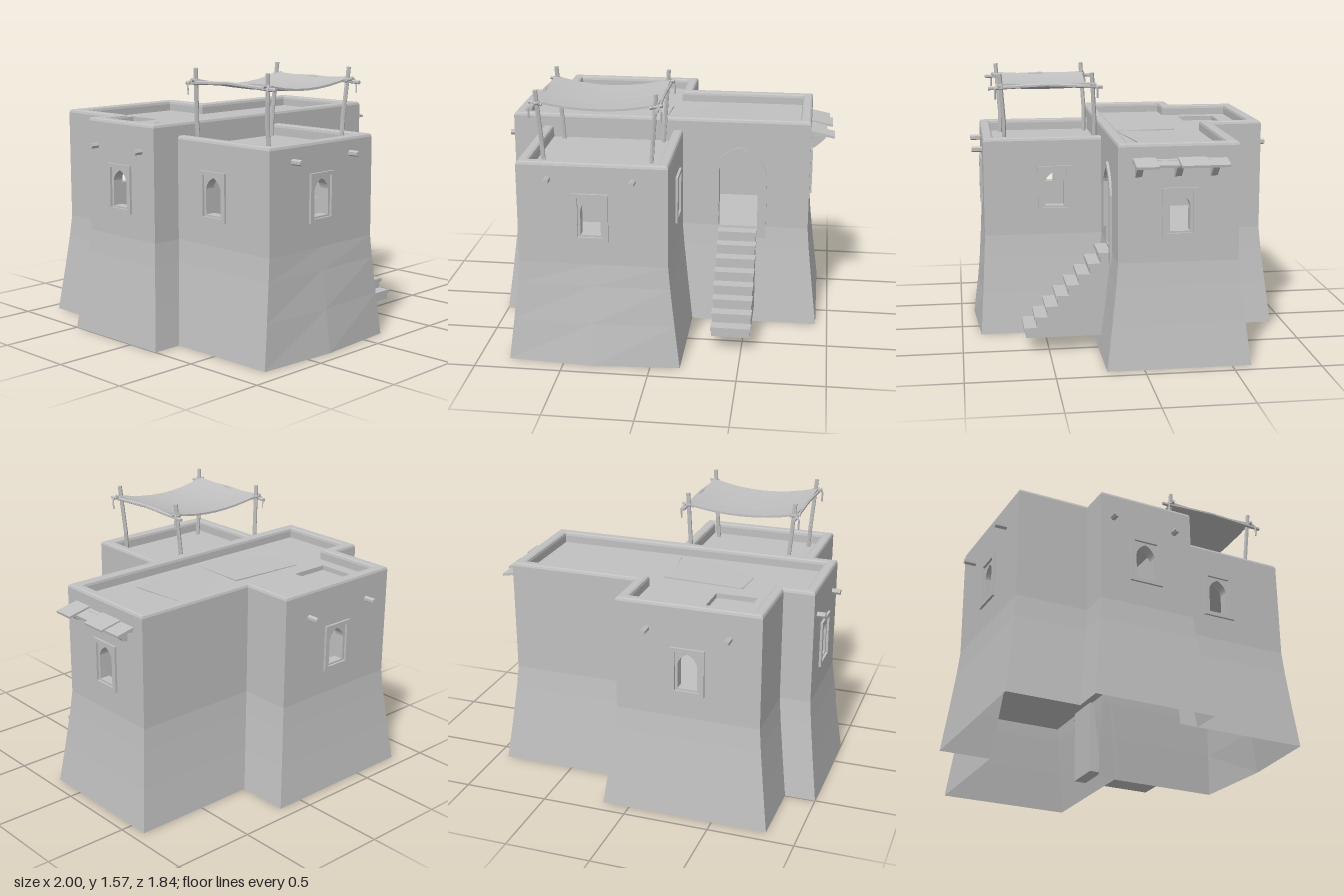
import * as THREE from 'three';

const clay = new THREE.MeshStandardMaterial({ color: 0xc0c0c0, side: THREE.DoubleSide });
clay.name = 'grey clay';

// Outlines [x, z, zScale], walked so that the outside is on the right-hand normal
const MAIN = [[-0.93, 0.14], [0.86, 0.14], [0.86, -0.54], [0.09, -0.54], [0.09, -0.85], [-0.75, -0.85], [-0.75, -0.43], [-0.93, -0.43]];
const TOWER = [[-0.75, 0.1], [-0.75, 0.85], [0.1, 0.85], [0.1, 0.1]];

function mesh(parent, name, geometry, x = 0, y = 0, z = 0) {
  const m = new THREE.Mesh(geometry, clay);
  m.name = name;
  m.position.set(x, y, z);
  parent.add(m);
  return m;
}

// Outward mitre vector at each outline point
function mitres(path, closed) {
  const n = path.length;
  const normal = i => {
    const a = path[(i + n) % n], b = path[(i + 1) % n];
    const l = Math.hypot(b[0] - a[0], b[1] - a[1]);
    return [-(b[1] - a[1]) / l, (b[0] - a[0]) / l];
  };
  return path.map((p, i) => {
    const n2 = !closed && i === n - 1 ? normal(i - 1) : normal(i);
    const n1 = !closed && i === 0 ? n2 : normal(i - 1);
    const k = 1 + n1[0] * n2[0] + n1[1] * n2[1];
    return [(n1[0] + n2[0]) / k, (n1[1] + n2[1]) / k * (p[2] ?? 1)];
  });
}

// Sweep a profile of [outward offset, y] along an outline
function sweep(path, closed, profile) {
  const m = mitres(path, closed), n = path.length, pos = [];
  const at = (i, j) => [path[i % n][0] + m[i % n][0] * profile[j][0], profile[j][1], path[i % n][1] + m[i % n][1] * profile[j][0]];
  for (let i = 0; i < (closed ? n : n - 1); i++) {
    for (let j = 0; j < profile.length - 1; j++) {
      const a = at(i, j), b = at(i + 1, j), c = at(i + 1, j + 1), d = at(i, j + 1);
      pos.push(...a, ...b, ...c, ...a, ...c, ...d);
    }
  }
  const g = new THREE.BufferGeometry();
  g.setAttribute('position', new THREE.Float32BufferAttribute(pos, 3));
  g.computeVertexNormals();
  return g;
}

// Horizontal slab filling an outline
function slab(path, inset, depth, hole) {
  const m = mitres(path, true);
  const s = new THREE.Shape(path.map((p, i) => new THREE.Vector2(p[0] - m[i][0] * inset, -p[1] + m[i][1] * inset)));
  if (hole) s.holes.push(hole);
  return new THREE.ExtrudeGeometry(s, { depth, bevelEnabled: false }).rotateX(-Math.PI / 2);
}

function rect(Type, x0, y0, x1, y1) {
  return new Type([[x0, y0], [x1, y0], [x1, y1], [x0, y1]].map(p => new THREE.Vector2(...p)));
}

function archPath(u, half, bottom, spring, apex) {
  const p = new THREE.Path();
  p.moveTo(u - half, bottom).lineTo(u + half, bottom).lineTo(u + half, spring);
  p.quadraticCurveTo(u + half * 0.85, spring + (apex - spring) * 0.65, u, apex);
  p.quadraticCurveTo(u - half * 0.85, spring + (apex - spring) * 0.65, u - half, spring);
  return p;
}

const extrude = (shape, depth) => new THREE.ExtrudeGeometry(shape, { depth, bevelEnabled: false, curveSegments: 6 });

// Upright thick wall from a to b, with optional window or door opening
function wall(parent, a, b, top, windowAt, doorAt) {
  const g = new THREE.Group();
  g.name = 'upperWall';
  g.position.set(a[0], 0, a[1]);
  g.rotation.y = Math.atan2(a[1] - b[1], b[0] - a[0]);
  parent.add(g);
  const s = rect(THREE.Shape, 0, 0.58, Math.hypot(b[0] - a[0], b[1] - a[1]), top);
  if (windowAt) {
    s.holes.push(archPath(windowAt, 0.057, 0.775, 0.92, 0.985));
    const f = rect(THREE.Shape, windowAt - 0.1, 0.743, windowAt + 0.1, 1.02);
    f.holes.push(rect(THREE.Path, windowAt - 0.072, 0.765, windowAt + 0.072, 0.998));
    mesh(g, 'windowFrame', extrude(f, 0.014));
  }
  if (doorAt) {
    s.holes.push(archPath(doorAt, 0.117, 0.59, 0.96, 1.06));
    const f = new THREE.Shape(), u = doorAt;
    f.moveTo(u + 0.117, 0.53).lineTo(u + 0.17, 0.53).lineTo(u + 0.17, 0.93);
    f.quadraticCurveTo(u + 0.145, 1.05, u, 1.1).quadraticCurveTo(u - 0.145, 1.05, u - 0.17, 0.93);
    f.lineTo(u - 0.17, 0.69).lineTo(u - 0.117, 0.69).lineTo(u - 0.117, 0.96);
    f.quadraticCurveTo(u - 0.1, 1.025, u, 1.06).quadraticCurveTo(u + 0.1, 1.025, u + 0.117, 0.96);
    mesh(g, 'doorFrame', extrude(f, 0.014));
  }
  mesh(g, 'wallPanel', extrude(s, 0.06), 0, 0, -0.06);
}

// Thin pole through points
function pole(parent, name, points, radius, sides = 6) {
  for (let i = 0; i < points.length - 1; i++) {
    const a = new THREE.Vector3(...points[i]), b = new THREE.Vector3(...points[i + 1]);
    const m = mesh(parent, name, new THREE.CylinderGeometry(radius, radius, a.distanceTo(b), sides).toNonIndexed());
    m.geometry.computeVertexNormals();
    m.position.copy(a).add(b).multiplyScalar(0.5);
    m.quaternion.setFromUnitVectors(new THREE.Vector3(0, 1, 0), b.sub(a).normalize());
  }
}

function buildCanopy(root) {
  const g = new THREE.Group();
  g.name = 'canopy';
  root.add(g);
  for (const s of [-1, 1]) {
    const px = d => -0.315 + s * d;
    for (const [zb, zt, t] of [[0.72, 0.74, 1], [0.17, 0.185, -1]]) {
      pole(g, 'post', [[px(0.3), 1.1, zb], [px(0.312), 1.27, zb - 0.002], [px(0.335), 1.57, zt]], 0.013);
      mesh(g, 'knot', new THREE.TorusGeometry(0.018, 0.009, 5, 8).rotateX(Math.PI / 2), px(0.332), 1.5, zt);
      pole(g, 'ropeEnd', [[px(0.345), 1.51, zt + t * 0.02], [px(0.368), 1.48, zt + t * 0.03], [px(0.366), 1.42, zt + t * 0.03]], 0.006, 4);
      pole(g, 'tie', [[px(0.3), 1.49, zt], [px(0.37), 1.505, zt]], 0.011, 5);
    }
    pole(g, 'crossbar', [[px(0.345), 1.485, 0.12], [px(0.345), 1.5, 0.46], [px(0.345), 1.485, 0.81]], 0.011);
  }
  // Sagging cloth
  const cloth = new THREE.BoxGeometry(0.69, 0.012, 0.57, 8, 1, 4).toNonIndexed();
  const p = cloth.attributes.position;
  for (let i = 0; i < p.count; i++) {
    const u = p.getX(i) / 0.345, v = p.getZ(i) / 0.285;
    p.setY(i, p.getY(i) + 1.452 + 0.045 * u * u + 0.01 * v * v);
    p.setZ(i, p.getZ(i) * (0.94 + 0.06 * u * u));
  }
  cloth.computeVertexNormals();
  mesh(g, 'cloth', cloth, -0.315, 0, 0.455);
}

export function createModel() {
  const root = new THREE.Group();
  root.name = 'clayHouse';

  // Flared lower walls, open underneath
  const flare = [[0.07, 0], [0.038, 0.25], [0.012, 0.47], [0, 0.6]];
  const mainBase = [[0.09, 0.14], ...MAIN.slice(1, 5), [-0.33, -0.85], ...MAIN.slice(5), MAIN[0], [-0.75, 0.14]];
  const towerBase = [TOWER[0], [-0.75, 0.85, 0.5], [-0.33, 0.85], [0.1, 0.85, 0.5], TOWER[3]];
  mesh(root, 'mainLowerWall', sweep(mainBase, false, flare));
  mesh(root, 'towerLowerWall', sweep(towerBase, false, flare));

  // Upper walls with openings
  const mainWindows = { 1: 0.345, 4: 0.42, 7: 0.275 };
  MAIN.forEach((a, i) => wall(root, a, MAIN[(i + 1) % 8], 1.24, mainWindows[i], i === 0 ? 1.367 : 0));
  [0.325, 0.415, 0.425].forEach((u, i) => wall(root, TOWER[i], TOWER[i + 1], 1.16, u));

  // Rounded parapets
  const rim = h => [[0, h - 0.04], [0, h - 0.018], [-0.005, h - 0.005], [-0.014, h], [-0.05, h], [-0.06, h - 0.006], [-0.064, h - 0.02], [-0.064, h - 0.1]];
  mesh(root, 'mainParapet', sweep(MAIN, true, rim(1.268)));
  mesh(root, 'towerParapet', sweep(TOWER, false, rim(1.193)));

  // Floors and roofs, with a sunken hatch at the back
  mesh(root, 'mainFloor', slab(MAIN, 0.005, 0.02), 0, 0.55, 0);
  mesh(root, 'towerFloor', slab(TOWER, 0.005, 0.02), 0, 0.55, 0);
  mesh(root, 'mainRoof', slab(MAIN, 0.03, 0.04, rect(THREE.Path, -0.61, 0.46, -0.37, 0.69)), 0, 1.165, 0);
  mesh(root, 'towerRoof', slab(TOWER, 0.03, 0.03), 0, 1.095, 0);
  mesh(root, 'hatch', new THREE.BoxGeometry(0.24, 0.01, 0.23), -0.49, 1.172, -0.575);
  const patchA = mesh(root, 'roofPatch', new THREE.BoxGeometry(0.48, 0.008, 0.36), -0.26, 1.204, -0.16);
  patchA.rotation.set(0.02, -0.05, 0.01);
  const patchB = mesh(root, 'roofPatch', new THREE.BoxGeometry(0.5, 0.008, 0.38), 0.23, 1.204, -0.19);
  patchB.rotation.set(-0.02, 0.13, 0.015);

  // Beam ends poking out of the walls
  for (const x of [-0.57, -0.095]) {
    pole(root, 'beamEnd', [[x, 1.1, 0.8], [x, 1.1, 0.915]], 0.017);
    pole(root, 'beamEnd', [[x, 1.11, -0.8], [x, 1.11, -0.92]], 0.017);
  }
  for (const z of [-0.355, 0.03]) pole(root, 'beamEnd', [[-0.88, 1.11, z], [-0.98, 1.11, z]], 0.017);

  // Plank shelter over the side window
  const planks = [[-0.465, -0.352, 0.97], [-0.348, -0.19, 0.99], [-0.186, -0.07, 0.955], [-0.066, 0.058, 1.0]];
  planks.forEach(([z0, z1, end], i) => {
    const w = end - 0.85;
    const m = mesh(root, 'plank', new THREE.BoxGeometry(w, 0.014, z1 - z0), 0.85 + w / 2, 1.165 + (i % 2) * 0.005, (z0 + z1) / 2);
    m.rotation.z = -0.2;
  });
  mesh(root, 'wallBatten', new THREE.BoxGeometry(0.03, 0.025, 0.52), 0.87, 1.165, -0.2);
  const bracket = new THREE.Shape([[0.85, 1.08], [0.885, 1.09], [0.93, 1.13], [0.95, 1.155], [0.85, 1.17]].map(p => new THREE.Vector2(...p)));
  for (const z of [0.03, -0.19, -0.39]) mesh(root, 'bracket', extrude(bracket, 0.036), 0, 0, z - 0.018);

  // Entrance stairs: stepped block with overhanging treads
  for (let i = 0; i < 8; i++) {
    const top = 0.15 + i * 0.062, front = 0.635 - i * 0.062;
    mesh(root, 'step', new THREE.BoxGeometry(0.226, top - 0.09, front - 0.12), 0.437, (top + 0.09) / 2, (front + 0.12) / 2);
    mesh(root, 'tread', new THREE.BoxGeometry(0.236, 0.022, 0.078), 0.437, top - 0.01, front - 0.027);
  }

  buildCanopy(root);
  return root;
}
